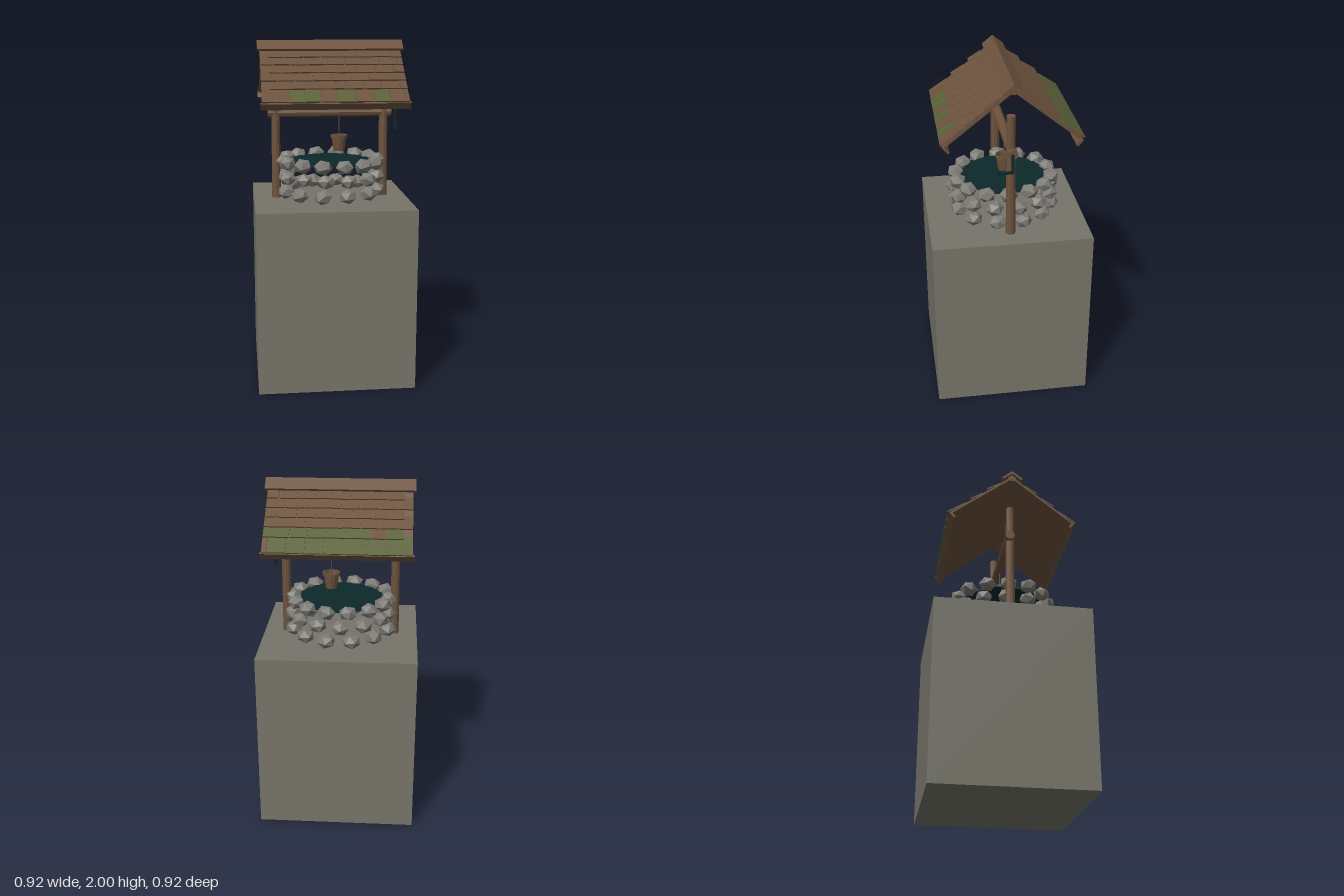
import * as THREE from 'three';

const mat = (name, color, side = THREE.FrontSide) => {
  const m = new THREE.MeshStandardMaterial({ color, side, flatShading: true });
  m.name = name;
  return m;
};

export function createModel() {
  const model = new THREE.Group();
  model.name = 'well';
  const ground = mat('ground stone', 0x77756a);
  const rock = mat('rock grey', 0x7d7b75);
  const wood = mat('wood brown', 0x6c523d);
  const bucketWood = mat('bucket brown', 0x6c523d, THREE.DoubleSide);
  const moss = mat('moss green', 0x5a6138);
  const dark = mat('dark teal', 0x0d2829);

  let seed = 7;
  const rand = () => (seed = (seed * 16807) % 2147483647) / 2147483647;

  const add = (parent, name, geo, material, x = 0, y = 0, z = 0) => {
    const m = new THREE.Mesh(geo, material);
    m.name = name;
    m.position.set(x, y, z);
    parent.add(m);
    return m;
  };
  const box = (w, h, d) => new THREE.BoxGeometry(w, h, d);

  // Pedestal block
  add(model, 'pedestal', box(0.915, 1.07, 0.915), ground, 0, 0.535, 0);

  // Three rings of loose stones: [height, count, phase]
  const wall = new THREE.Group();
  wall.name = 'stoneWall';
  model.add(wall);
  for (const [y, count, phase] of [[1.117, 12, -0.24], [1.205, 13, 0.3], [1.29, 14, 0.21]]) {
    for (let i = 0; i < count; i++) {
      const a = phase + (i / count) * Math.PI * 2;
      const geo = new THREE.IcosahedronGeometry(0.053, 0);
      geo.rotateX(rand() * 6).rotateZ(rand() * 6);
      geo.scale(1.04, 0.84, 0.98).rotateY(a);
      const r = 0.284 + (rand() - 0.5) * 0.01;
      add(wall, 'stone', geo, rock, Math.sin(a) * r, y + (rand() - 0.5) * 0.006, Math.cos(a) * r);
    }
  }

  // Water
  add(model, 'water', new THREE.CylinderGeometry(0.255, 0.255, 0.01, 10), dark, 0, 1.287, 0);

  // Posts, axle and ridge beam
  for (const s of [-1, 1]) {
    add(model, 'post', new THREE.CylinderGeometry(0.025, 0.028, 0.72, 10), wood, s * 0.322, 1.43, 0);
  }
  const beam = (name, r, len, y, z) =>
    add(model, name, new THREE.CylinderGeometry(r, r, len, 10).rotateZ(Math.PI / 2), wood, 0, y, z);
  beam('axle', 0.029, 0.735, 1.578, -0.006);
  beam('ridgeBeam', 0.025, 0.82, 1.963, 0);

  // Crank
  add(model, 'crankArm', box(0.014, 0.11, 0.014), dark, 0.392, 1.535, 0);
  add(model, 'crankHandle', box(0.014, 0.014, 0.08), dark, 0.392, 1.485, 0.039);

  // Rope and bucket
  add(model, 'rope', new THREE.CylinderGeometry(0.003, 0.003, 0.18, 5), wood, 0.056, 1.47, 0);
  const profile = [[0, 0], [0.034, 0], [0.045, 0.078], [0.051, 0.078], [0.052, 0.095],
    [0.042, 0.095], [0.031, 0.012], [0, 0.012]].map(([x, y]) => new THREE.Vector2(x, y));
  add(model, 'bucket', new THREE.LatheGeometry(profile, 12), bucketWood, 0.056, 1.347, 0);

  // Roof: each slope is built with local z running down from the ridge
  const pitch = 0.672;
  const edges = [0.393, 0.312, 0.259, 0.207, 0.155, 0.104]; // lower edge of each shingle row
  const frontEave = [-0.412, -0.33, -0.255, -0.175, -0.085, 0.005, 0.108, 0.21, 0.3, 0.385, 0.411];
  const backEave = [-0.412, -0.33, -0.238, -0.135, -0.03, 0.073, 0.173, 0.276, 0.379, 0.411];
  const backSecond = [-0.365, -0.265, -0.188, -0.044, 0.06, 0.162, 0.264, 0.411];
  const courses = (row, s) => {
    if (row === 0) return s > 0 ? frontEave : backEave;
    if (row === 1 && s < 0) return backSecond;
    const cuts = [row % 2 ? -0.365 : -0.412];
    let x = cuts[0] + 0.07 + rand() * 0.03;
    while (x < 0.385) {
      cuts.push(x);
      x += 0.098 + rand() * 0.01;
    }
    return [...cuts, 0.411];
  };
  const isMossy = (row, i, s) => s > 0
    ? row === 0 && [2, 3, 5, 7].includes(i)
    : (row === 0 && i < 8) || (row === 1 && i !== 1);

  for (const s of [1, -1]) {
    const turn = new THREE.Group();
    turn.name = s > 0 ? 'frontRoof' : 'backRoof';
    turn.position.y = 1.975;
    turn.rotation.y = s > 0 ? 0 : Math.PI;
    model.add(turn);
    const slope = new THREE.Group();
    slope.name = 'slope';
    slope.rotation.x = pitch;
    turn.add(slope);

    add(slope, 'roofSheet', box(0.822, 0.012, 0.485), wood, 0, -0.01, 0.2425);
    add(slope, 'ridgeCap', box(0.852, 0.0145, 0.081), wood, 0, 0.0125, 0.025);
    add(slope, 'eaveBoard', box(0.838, 0.045, 0.014), wood, 0, -0.0285, 0.484);

    edges.forEach((z, row) => {
      const end = (z - 0.007) / Math.cos(pitch);
      const len = row === 0 ? 0.13 : 0.09;
      const cuts = courses(row, s);
      for (let i = 0; i < cuts.length - 1; i++) {
        const w = cuts[i + 1] - cuts[i] - 0.005;
        const geo = box(w, 0.008, len).translate(0, 0, -len / 2);
        const shingle = add(slope, 'shingle', geo, isMossy(row, i, s) ? moss : wood,
          s * (cuts[i] + 0.0025 + w / 2), 0.008, end - rand() * 0.003);
        shingle.rotation.x = -Math.asin(0.011 / len);
      }
    });
  }
  // Tilt each shingle so its lower edge lies over the row below
  model.traverse((o) => {
    if (o.name === 'shingle') o.rotation.x *= -1, o.rotation.x = -Math.abs(o.rotation.x);
  });
  return model;
}
